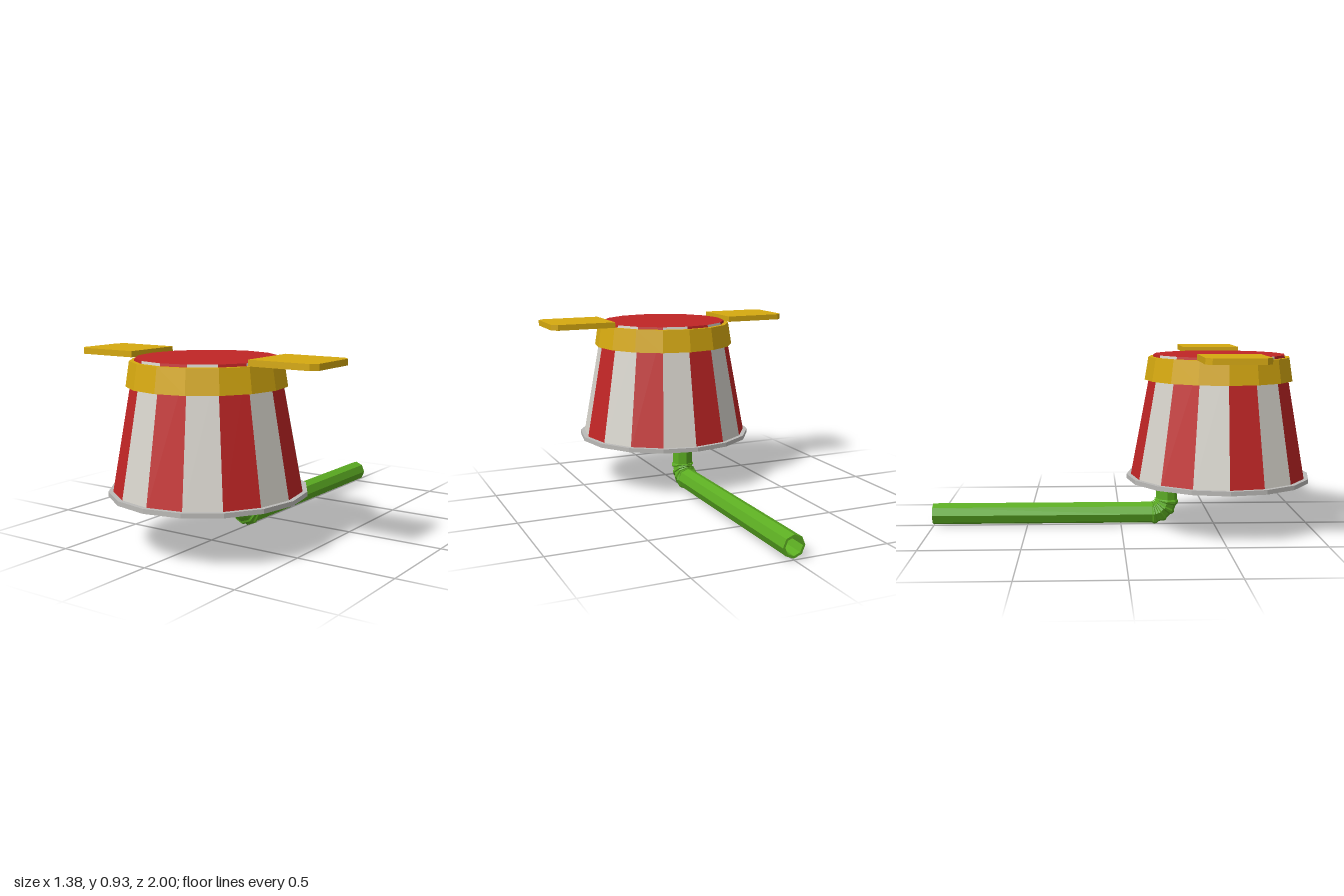
import * as THREE from 'three';
import { mergeGeometries } from 'three/addons/utils/BufferGeometryUtils.js';

const SIDES = 16, STEP = Math.PI * 2 / SIDES, CENTRE_Z = 0.515;

const paint = (name, color, extra = {}) => {
  const m = new THREE.MeshStandardMaterial({ color, flatShading: true, ...extra });
  m.name = name;
  return m;
};

function flat(geo) {
  const g = geo.index ? geo.toNonIndexed() : geo;
  g.computeVertexNormals();
  return g;
}

// Faceted ring or shell from [radius, height] pairs, listed upwards on the outside
const turned = (pts) =>
  flat(new THREE.LatheGeometry(pts.map(([r, y]) => new THREE.Vector2(r, y)), SIDES));

// Octagonal pipe: drops from the bucket, bends through ribs, then runs backwards
function pipeGeometry() {
  const r = 0.057, bend = 0.08, cy = 0.142, cz = 0.165, low = cy - bend;
  const stations = [];
  const add = (y, z, a, rad) => stations.push({ y, z, a, rad });
  const onBend = (deg, rad) => {
    const a = THREE.MathUtils.degToRad(deg);
    add(cy - bend * Math.sin(a), cz + bend * Math.cos(a), a, rad);
  };
  add(0.28, cz + bend, 0, r);
  for (const deg of [10, 35, 60, 82]) {
    onBend(deg - 7, r);
    onBend(deg - 3, 0.064);
    onBend(deg + 3, 0.064);
    onBend(deg + 7, r);
  }
  add(low, -1, Math.PI / 2, r);
  // open end with a wall thickness
  add(low, -1, Math.PI / 2, 0.045);
  add(low, 0.12, Math.PI / 2, 0.045);

  const n = 8, pos = [], idx = [];
  stations.forEach(({ y, z, a, rad }, i) => {
    for (let j = 0; j < n; j++) {
      const f = j / n * Math.PI * 2, out = rad * Math.cos(f);
      pos.push(rad * Math.sin(f), y - out * Math.sin(a), z + out * Math.cos(a));
      if (i === 0) continue;
      const k = (j + 1) % n, p = (i - 1) * n, q = i * n;
      idx.push(p + j, q + j, p + k, q + j, q + k, p + k);
    }
  });
  const g = new THREE.BufferGeometry();
  g.setAttribute('position', new THREE.Float32BufferAttribute(pos, 3));
  g.setIndex(idx);
  return flat(g);
}

// Lumpy faceted stone
function rockGeometry(radius, seed) {
  const g = new THREE.IcosahedronGeometry(radius, 1);
  const p = g.attributes.position, v = new THREE.Vector3();
  for (let i = 0; i < p.count; i++) {
    v.fromBufferAttribute(p, i);
    const key = Math.round(v.x / radius * 50) * 12.9 + Math.round(v.y / radius * 50) * 78.2
      + Math.round(v.z / radius * 50) * 37.7 + seed * 5.3;
    const h = Math.sin(key) * 43758.5;
    v.multiplyScalar(0.82 + 0.3 * (h - Math.floor(h)));
    p.setXYZ(i, v.x, v.y * 0.85, v.z);
  }
  return flat(g);
}

export function createModel() {
  const red = paint('red', 0xc02525);
  const white = paint('off white', 0xd6d3cb, { side: THREE.DoubleSide });
  const grey = paint('rim grey', 0xbcbbb8);
  const gold = paint('gold', 0xd6a910);
  const green = paint('green', 0x5cad22, { side: THREE.DoubleSide });
  const slate = paint('slate blue', 0x74809c);

  const model = new THREE.Group();
  const bucket = new THREE.Group();
  bucket.name = 'bucket';
  bucket.position.z = CENTRE_Z;
  model.add(bucket);
  const add = (parent, name, geo, mat) => {
    const m = new THREE.Mesh(geo, mat);
    m.name = name;
    parent.add(m);
    return m;
  };

  // Striped wall: alternate facets
  const stripes = [[], []];
  for (let i = 0; i < SIDES; i++) {
    const g = new THREE.CylinderGeometry(0.345, 0.466, 0.66, 1, 1, true, i * STEP, STEP);
    g.translate(0, 0.58, 0);
    stripes[i % 2].push(flat(g));
  }
  add(bucket, 'redStripes', mergeGeometries(stripes[0]), red);
  add(bucket, 'whiteStripes', mergeGeometries(stripes[1]), white);

  // Red top and white lining
  const top = new THREE.CircleGeometry(0.345, SIDES).rotateX(-Math.PI / 2).translate(0, 0.91, 0);
  add(bucket, 'top', top, red);
  add(bucket, 'lining', turned([[0, 0.9], [0.335, 0.9], [0.455, 0.252]]), white);

  // Rim around the opening and gold band near the top
  add(bucket, 'rim',
    turned([[0.45, 0.25], [0.485, 0.25], [0.485, 0.273], [0.45, 0.273], [0.45, 0.25]]), grey);
  add(bucket, 'band',
    turned([[0.36, 0.777], [0.39, 0.777], [0.371, 0.897], [0.346, 0.897], [0.36, 0.777]]), gold);

  // Flat handles with clipped outer corners
  const handleShape = new THREE.Shape([
    [0.342, -0.155], [0.66, -0.155], [0.69, -0.125], [0.69, 0.125], [0.66, 0.155], [0.342, 0.155],
  ].map(([x, y]) => new THREE.Vector2(x, y)));
  const handleGeo = new THREE.ExtrudeGeometry(handleShape, { depth: 0.03, bevelEnabled: false });
  handleGeo.rotateX(-Math.PI / 2).translate(0, 0.9, 0);
  add(bucket, 'leftHandle', handleGeo, gold);
  add(bucket, 'rightHandle', handleGeo, gold).rotation.y = Math.PI;

  // Stones inside the bucket: x, y, z, radius
  const stones = new THREE.Group();
  stones.name = 'stones';
  bucket.add(stones);
  [
    [-0.03, 0.43, 0.25, 0.12], [0, 0.43, 0.03, 0.12], [-0.2, 0.43, -0.04, 0.12],
    [0.19, 0.44, 0.1, 0.12], [0, 0.44, -0.18, 0.12], [0.2, 0.45, -0.12, 0.12],
    [-0.2, 0.46, 0.14, 0.11],
  ].forEach(([x, y, z, r], i) => {
    const s = add(stones, 'stone', rockGeometry(r, i + 1), slate);
    s.position.set(x, y, z);
    s.rotation.set(i * 0.7, i * 1.3, i * 0.4);
  });

  add(model, 'pipe', pipeGeometry(), green);
  return model;
}
